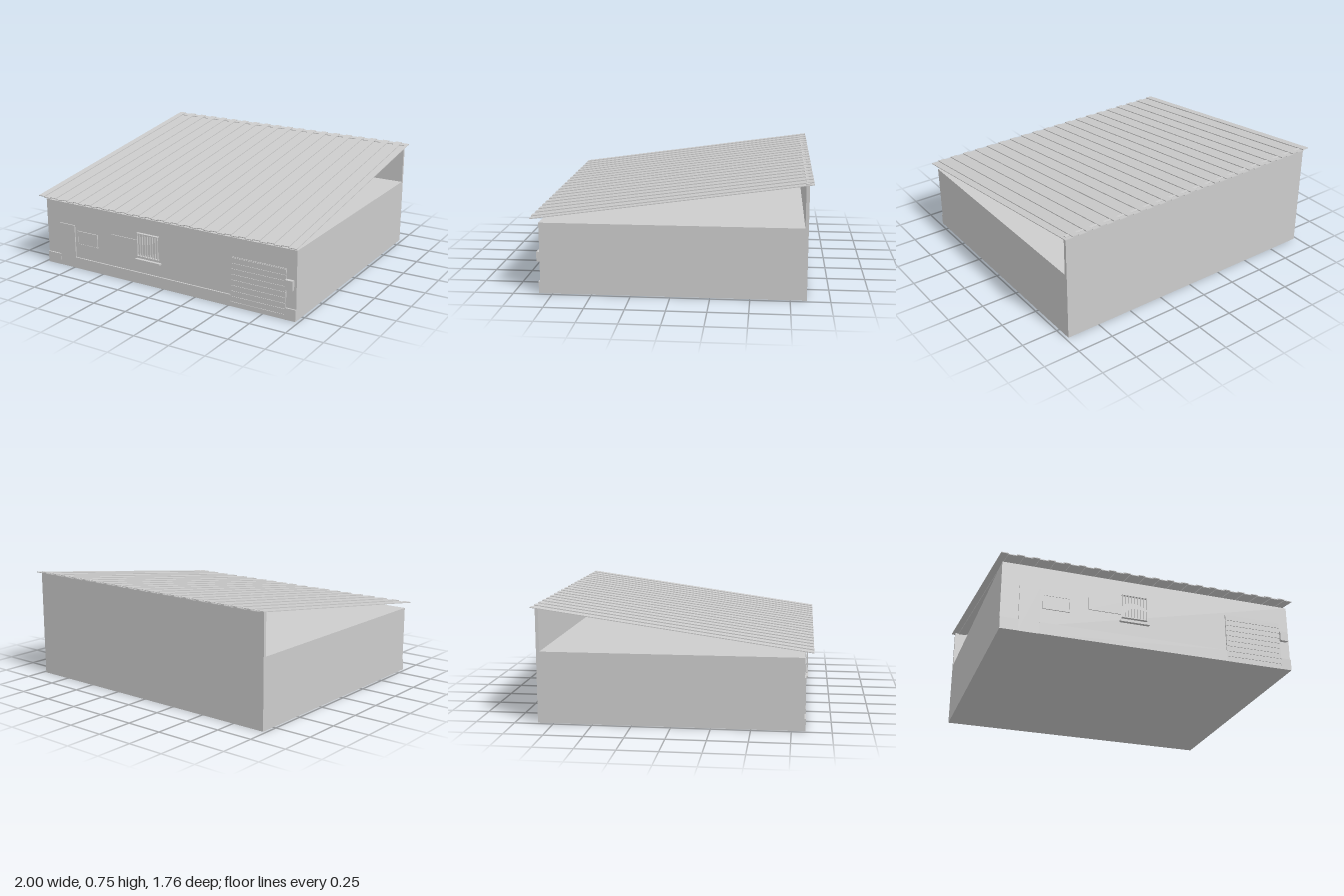
import * as THREE from 'three';

const wallGrey = new THREE.MeshStandardMaterial({ color: 0xcccccc });
wallGrey.name = 'light grey';

// Box given by its limits on each axis
function block(parent, name, x0, x1, y0, y1, z0, z1) {
  const mesh = new THREE.Mesh(new THREE.BoxGeometry(x1 - x0, y1 - y0, z1 - z0), wallGrey);
  mesh.position.set((x0 + x1) / 2, (y0 + y1) / 2, (z0 + z1) / 2);
  mesh.name = name;
  parent.add(mesh);
}

// Rectangular frame standing out from the front wall
function frame(parent, name, x0, x1, y0, y1, z0, z1, t) {
  block(parent, name, x0, x0 + t, y0, y1, z0, z1);
  block(parent, name, x1 - t, x1, y0, y1, z0, z1);
  block(parent, name, x0 + t, x1 - t, y0, y0 + t, z0, z1);
  block(parent, name, x0 + t, x1 - t, y1 - t, y1, z0, z1);
}

// Sheet with square ribs, sloping down to the front
function ribbedRoof() {
  const ribs = 20, pitch = 0.1, ribWidth = 0.048, step = 0.006, thick = 0.005;
  const top = [];
  for (let i = 0; i < ribs; i++) {
    const x = -1 + i * pitch;
    top.push([x, step], [x + ribWidth, step], [x + ribWidth, 0], [x + pitch, 0]);
  }
  const bottom = top.map(([x, y], i) => {
    // side walls of the ribs keep a small thickness
    const end = i === 0 || i === top.length - 1;
    const shift = end ? 0 : (i % 4 === 1 || i % 4 === 2 ? -0.003 : 0.003);
    return [x + shift, y - thick];
  }).reverse();
  const shape = new THREE.Shape([...top, ...bottom].map(([x, y]) => new THREE.Vector2(x, y)));
  const length = Math.hypot(1.76, 0.248);
  const geo = new THREE.ExtrudeGeometry(shape, { depth: length, bevelEnabled: false });
  geo.translate(0, 0, -length / 2);
  const roof = new THREE.Mesh(geo, wallGrey);
  roof.name = 'ribbedRoof';
  roof.rotation.x = Math.atan2(0.248, 1.76);
  roof.position.y = 0.617;
  return roof;
}

export function createModel() {
  const house = new THREE.Group();
  house.name = 'house';
  const F = 0.828; // front wall plane

  // Main volume, tall rear wall and roof
  block(house, 'body', -0.98, 0.98, 0, 0.462, -0.853, F);
  block(house, 'rearUpperWall', -0.98, 0.98, 0.462, 0.739, -0.853, -0.832);
  house.add(ribbedRoof());

  // Plinth between the openings
  for (const [a, b] of [[-0.98, -0.865], [-0.735, 0.52], [0.91, 0.98]]) {
    block(house, 'plinth', a, b, 0, 0.078, F, F + 0.01);
  }

  // Entrance door
  block(house, 'door', -0.865, -0.735, 0, 0.31, F, F + 0.008);

  // Windows
  const windows = new THREE.Group();
  windows.name = 'windows';
  block(windows, 'windowPane', -0.715, -0.54, 0.177, 0.275, F, F + 0.004);
  frame(windows, 'windowFrame', -0.715, -0.54, 0.177, 0.275, F, F + 0.007, 0.006);
  block(windows, 'wallPanel', -0.418, -0.2, 0.22, 0.305, F, F + 0.006);
  house.add(windows);

  // Barred window with sill
  const grille = new THREE.Group();
  grille.name = 'windowGrille';
  for (let i = 0; i < 9; i++) {
    const x = -0.196 + i * 0.0203;
    block(grille, 'bar', x - 0.003, x + 0.003, 0.195, 0.36, F + 0.012, F + 0.02);
  }
  for (const y of [0.195, 0.354]) block(grille, 'rail', -0.2, -0.03, y, y + 0.006, F, F + 0.02);
  block(grille, 'sill', -0.214, -0.016, 0.166, 0.177, F, F + 0.022);
  house.add(grille);

  // Garage door made of horizontal slats
  const garage = new THREE.Group();
  garage.name = 'garageDoor';
  const slats = 9, h = 0.335 / slats;
  block(garage, 'garagePanel', 0.52, 0.91, 0, 0.335, F, F + 0.005);
  for (let i = 0; i < slats; i++) {
    block(garage, 'slat', 0.52, 0.91, i * h, (i + 1) * h - 0.005, F + 0.004, F + 0.009);
  }
  house.add(garage);

  // Meter box beside the garage door
  block(house, 'meterBox', 0.91, 0.963, 0.203, 0.268, F, F + 0.024);

  return house;
}
